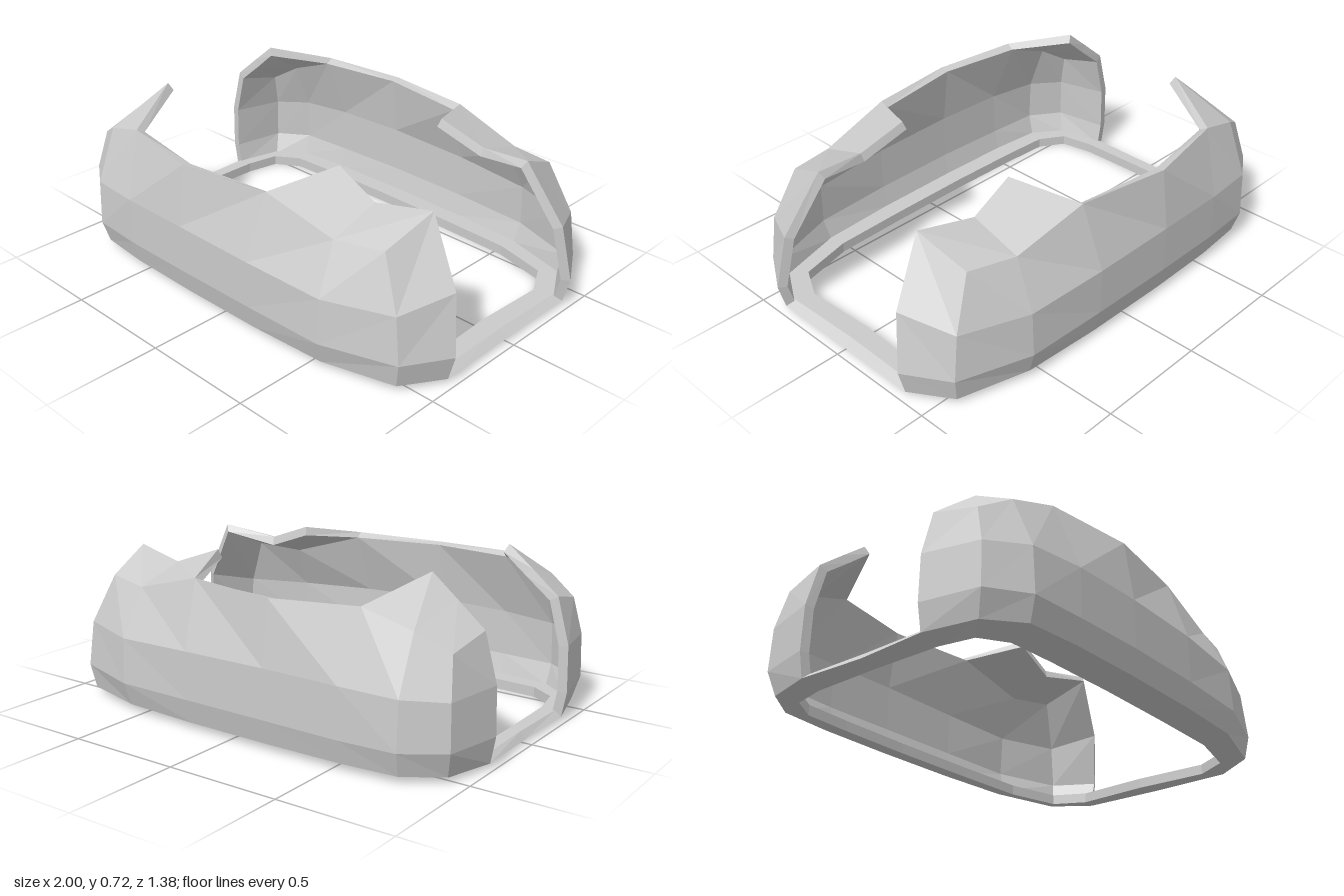
import * as THREE from 'three';

const material = new THREE.MeshStandardMaterial({ color: 0xcccccc, flatShading: true, side: THREE.DoubleSide });

// Shell outline from the left-hand opening round to the right-hand one, one row per height.
const rows = [
  [[-0.98, 0.02, 0.31], [-0.925, 0.025, 0.53], [-0.78, 0.03, 0.64], [-0.54, 0.03, 0.66], [-0.2, 0.03, 0.665],
    [0.2, 0.03, 0.66], [0.56, 0.03, 0.64], [0.865, 0.025, 0.55], [0.97, 0.02, 0.375]],
  [[-1, 0.13, 0.31], [-0.95, 0.13, 0.56], [-0.79, 0.13, 0.67], [-0.54, 0.13, 0.685], [-0.2, 0.135, 0.69],
    [0.2, 0.135, 0.685], [0.57, 0.13, 0.67], [0.885, 0.13, 0.565], [1, 0.13, 0.375]],
  [[-0.995, 0.33, 0.31], [-0.945, 0.32, 0.555], [-0.79, 0.33, 0.66], [-0.54, 0.34, 0.685], [-0.2, 0.345, 0.69],
    [0.2, 0.34, 0.685], [0.57, 0.325, 0.66], [0.86, 0.33, 0.555], [0.96, 0.38, 0.34]],
  [[-0.94, 0.53, 0.31], [-0.92, 0.485, 0.51], [-0.79, 0.56, 0.565], [-0.58, 0.625, 0.59], [-0.2, 0.612, 0.653],
    [0.22, 0.62, 0.59], [0.55, 0.53, 0.56], [0.76, 0.545, 0.51], [0.8, 0.64, 0.29]],
];
// Upper edge of the two overhanging corner panels.
const roof = [[-0.82, 0.63, 0.31], [-0.71, 0.72, 0.31], [0.34, 0.675, 0.31], [0.55, 0.6, 0.335]];
// Inner edge (x, z) of the base frame, column by column.
const frameInner = [[-0.89, 0.31], [-0.86, 0.46], [-0.75, 0.53], [-0.54, 0.54], [-0.2, 0.545],
  [0.2, 0.54], [0.54, 0.53], [0.78, 0.47], [0.855, 0.33]];

const quad = (a, b, c, d) => [a, b, c, a, c, d];

function indexed(points, index) {
  const g = new THREE.BufferGeometry();
  g.setAttribute('position', new THREE.Float32BufferAttribute(points.flat(), 3));
  g.setIndex(index);
  g.computeVertexNormals();
  return g;
}

// Gives an open sheet a thickness: inner copy plus a rim along every open edge.
function thicken(points, faces, t) {
  const n = points.length;
  const normal = indexed(points, faces).getAttribute('normal');
  const inner = points.map((p, i) => [p[0] - normal.getX(i) * t, p[1] - normal.getY(i) * t, p[2] - normal.getZ(i) * t]);
  const index = [...faces];
  const edges = new Set();
  for (let i = 0; i < faces.length; i += 3) {
    const [a, b, c] = faces.slice(i, i + 3);
    index.push(c + n, b + n, a + n);
    edges.add(`${a},${b}`).add(`${b},${c}`).add(`${c},${a}`);
  }
  for (const e of edges) {
    const [a, b] = e.split(',').map(Number);
    if (!edges.has(`${b},${a}`)) index.push(...quad(b, a, a + n, b + n));
  }
  return indexed([...points, ...inner], index);
}

function shellGeometry() {
  const cols = rows[0].length;
  const at = (c, r) => r * cols + c;
  const faces = [];
  for (let r = 0; r < rows.length - 1; r++) {
    for (let c = 0; c < cols - 1; c++) faces.push(...quad(at(c, r), at(c + 1, r), at(c + 1, r + 1), at(c, r + 1)));
  }
  const R = rows.length * cols;
  faces.push(
    ...quad(at(1, 3), at(2, 3), R, at(0, 3)),
    ...quad(at(2, 3), at(3, 3), R + 1, R),
    ...quad(at(5, 3), at(6, 3), R + 3, R + 2),
    ...quad(at(6, 3), at(7, 3), at(8, 3), R + 3),
  );
  return thicken([...rows.flat(), ...roof], faces, 0.04);
}

// Mirrors a geometry front to back, keeping its faces outward.
function mirrored(geometry) {
  const g = geometry.clone();
  const p = g.getAttribute('position');
  for (let i = 0; i < p.count; i++) p.setZ(i, -p.getZ(i));
  g.setIndex([...g.index.array].reverse());
  g.computeVertexNormals();
  return g;
}

// Closed bevelled frame under both shells, swept round the whole outline.
function frameGeometry() {
  const half = rows[0].map((o, i) => ({ o, n: frameInner[i] }));
  const flip = ({ o, n }) => ({ o: [o[0], o[1], -o[2]], n: [n[0], -n[1]] });
  const loop = [
    { o: [-0.97, 0.015, 0], n: [-0.895, 0] }, ...half,
    { o: [0.965, 0.015, 0], n: [0.84, 0] }, ...half.map(flip).reverse(),
  ];
  const points = loop.flatMap(({ o, n }) => {
    const mix = (k) => [o[0] + (n[0] - o[0]) * k, o[2] + (n[1] - o[2]) * k];
    const [tx, tz] = mix(0.3);
    return [o, [tx, 0.045, tz], [n[0], 0.045, n[1]], [n[0], 0, n[1]]];
  });
  const index = [];
  for (let i = 0; i < loop.length; i++) {
    const j = (i + 1) % loop.length;
    for (let k = 0; k < 4; k++) {
      const l = (k + 1) % 4;
      index.push(...quad(i * 4 + k, j * 4 + k, j * 4 + l, i * 4 + l));
    }
  }
  return indexed(points, index);
}

export function createModel() {
  const group = new THREE.Group();
  const add = (name, geometry) => {
    const mesh = new THREE.Mesh(geometry, material);
    mesh.name = name;
    group.add(mesh);
  };
  const shell = shellGeometry();
  add('frontShell', shell);
  add('backShell', mirrored(shell));
  add('baseFrame', frameGeometry());
  return group;
}
